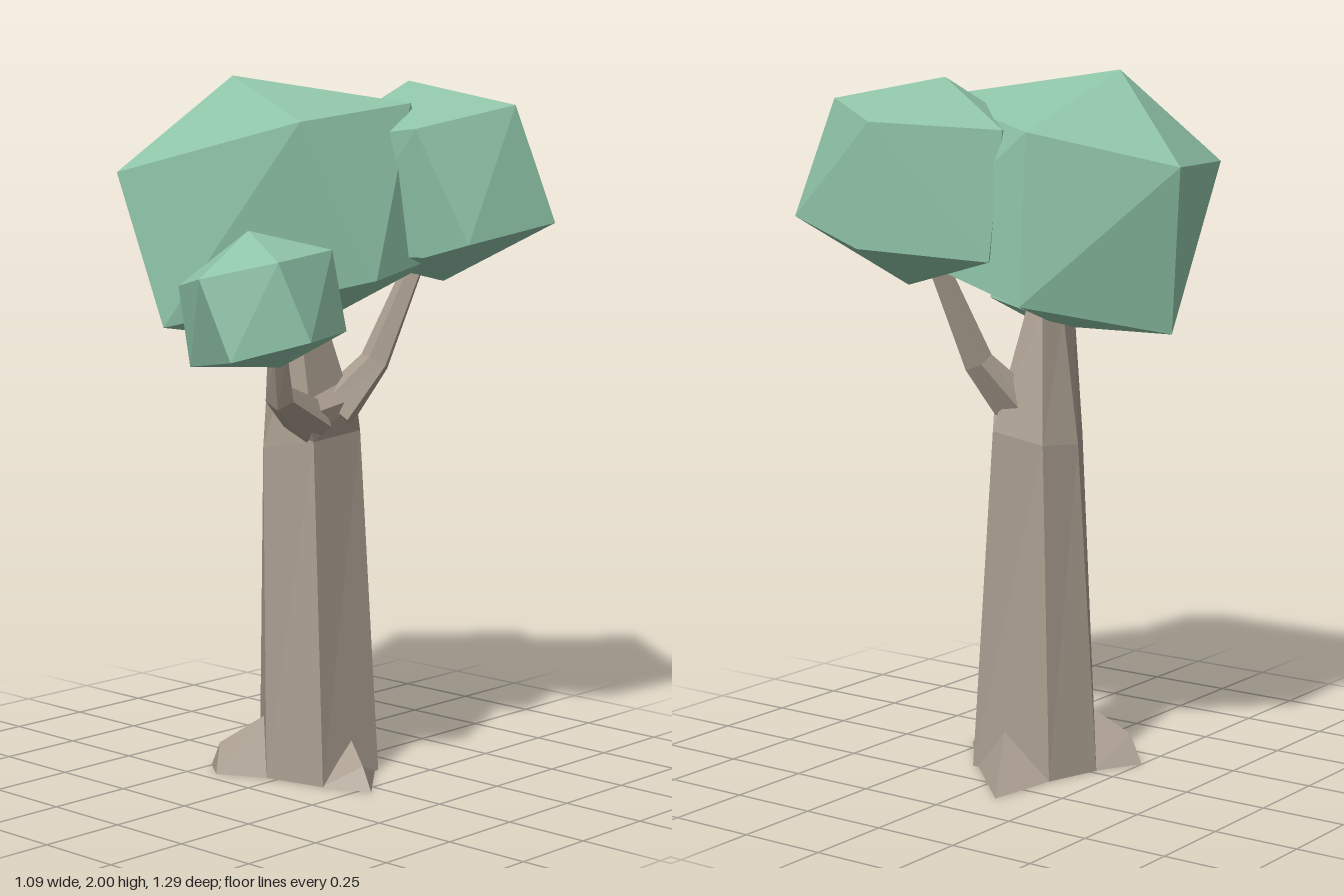
import * as THREE from 'three';
import { ConvexGeometry } from 'three/addons/geometries/ConvexGeometry.js';

const leafMaterial = new THREE.MeshStandardMaterial({ color: 0x8fc4a8, flatShading: true });
const barkMaterial = new THREE.MeshStandardMaterial({ color: 0xaa9e90, flatShading: true });

const toVectors = (points) => points.map((p) => new THREE.Vector3(...p));

// Faceted solid wrapped around a few corner points
function hull(name, points, material) {
  const mesh = new THREE.Mesh(new ConvexGeometry(toVectors(points)), material);
  mesh.name = name;
  return mesh;
}

// Skin over a stack of rings (each counter-clockwise seen from its far end), capped at both ends
function loft(name, rings, material) {
  const n = rings[0].length;
  const positions = [];
  const triangle = (...corners) => corners.forEach((c) => positions.push(c.x, c.y, c.z));
  for (let r = 0; r < rings.length - 1; r++) {
    for (let i = 0; i < n; i++) {
      const j = (i + 1) % n;
      const [a, b, c, d] = [rings[r][i], rings[r][j], rings[r + 1][j], rings[r + 1][i]];
      triangle(a, b, c);
      triangle(a, c, d);
    }
  }
  const first = rings[0], last = rings[rings.length - 1];
  for (let i = 1; i < n - 1; i++) {
    triangle(first[0], first[i + 1], first[i]);
    triangle(last[0], last[i], last[i + 1]);
  }
  const geometry = new THREE.BufferGeometry();
  geometry.setAttribute('position', new THREE.Float32BufferAttribute(positions, 3));
  geometry.computeVertexNormals();
  const mesh = new THREE.Mesh(geometry, material);
  mesh.name = name;
  return mesh;
}

// Tapered five-sided limb along a bent path
function limb(name, path, radii) {
  const points = toVectors(path);
  const rings = points.map((p, k) => {
    const before = points[Math.max(k - 1, 0)];
    const after = points[Math.min(k + 1, points.length - 1)];
    const along = after.clone().sub(before).normalize();
    const side = new THREE.Vector3(1, 0, 0).addScaledVector(along, -along.x).normalize();
    const up = along.clone().cross(side);
    return Array.from({ length: 5 }, (_, i) => {
      const t = (i / 5) * Math.PI * 2;
      return p.clone()
        .addScaledVector(side, radii[k] * Math.cos(t))
        .addScaledVector(up, radii[k] * Math.sin(t));
    });
  });
  return loft(name, rings, barkMaterial);
}

export function createModel() {
  const tree = new THREE.Group();
  tree.name = 'tree';

  // Trunk: wide foot, fork level, narrow top inside the crown
  const trunkRings = [
    [[0.15, 0, 0.10], [0.14, 0, -0.145], [-0.13, 0, -0.145], [-0.18, 0, 0.02], [-0.035, 0, 0.14]],
    [[0.085, 0.98, 0.07], [0.065, 0.99, -0.145], [-0.09, 0.96, -0.12], [-0.12, 0.95, 0.01], [-0.045, 0.96, 0.14]],
    [[0.04, 1.33, 0.08], [0.03, 1.33, -0.03], [-0.04, 1.33, -0.05], [-0.055, 1.31, 0.03], [-0.02, 1.31, 0.135]],
  ];
  tree.add(loft('trunk', trunkRings.map(toVectors), barkMaterial));

  // Fork where the branches leave the trunk
  tree.add(hull('fork', [
    [0.085, 0.98, 0.07], [0.065, 0.99, -0.145], [-0.05, 0.97, 0.10], [-0.06, 0.99, -0.1],
    [0.10, 1.06, 0.11], [0.09, 1.09, -0.10], [0.03, 1.14, 0.08], [0.02, 1.17, -0.06],
  ], barkMaterial));

  // Branches
  tree.add(limb('frontBranch',
    [[0.04, 1.03, 0.04], [0.12, 1.125, 0.24], [0.17, 1.26, 0.30]], [0.07, 0.042, 0.028]));
  tree.add(limb('backBranch',
    [[0.04, 1.05, -0.06], [0.10, 1.19, -0.17], [0.15, 1.46, -0.28]], [0.07, 0.045, 0.03]));

  // Roots
  tree.add(hull('frontRoot', [
    [-0.035, 0, 0.14], [-0.175, 0, 0.02], [-0.08, 0.17, 0.10],
    [-0.20, 0.08, 0.165], [-0.25, 0, 0.15], [-0.17, 0, 0.21], [-0.08, 0, 0.05],
  ], barkMaterial));
  tree.add(hull('sideRoot', [
    [0.145, 0, 0.10], [0.14, 0, -0.13], [0.14, 0.11, -0.03],
    [0.23, 0.06, 0.02], [0.285, 0, 0.045], [0.08, 0, 0],
  ], barkMaterial));
  tree.add(hull('backRoot', [
    [0.12, 0, -0.145], [-0.13, 0, -0.145], [0.03, 0.12, -0.14],
    [-0.1, 0, -0.36], [0, 0, -0.08],
  ], barkMaterial));

  // Foliage: peak, upper ring, lower ring, underside
  tree.add(hull('mainCrown', [
    [-0.187, 2.0, 0.115],
    [-0.547, 1.755, -0.133], [-0.32, 1.735, 0.437], [0.25, 1.88, 0.297], [0.265, 1.925, -0.13], [-0.235, 1.85, -0.40],
    [-0.49, 1.30, -0.08], [-0.165, 1.31, 0.41], [0.385, 1.455, 0.14], [0.24, 1.50, -0.33], [-0.235, 1.39, -0.43],
    [0.02, 1.265, 0.12],
  ], leafMaterial));
  tree.add(hull('backCrown', [
    [0.11, 1.985, -0.297],
    [0.125, 1.875, -0.61], [0.484, 1.92, -0.32], [0.378, 1.858, -0.023], [0.0, 1.82, -0.03], [-0.13, 1.85, -0.36],
    [0.142, 1.54, -0.643], [0.545, 1.593, -0.425], [0.495, 1.543, -0.11], [0.37, 1.505, -0.07],
    [0.08, 1.50, -0.03], [-0.12, 1.50, -0.41],
    [0.20, 1.415, -0.35],
  ], leafMaterial));
  tree.add(hull('frontCrown', [
    [0.17, 1.593, 0.413],
    [-0.02, 1.44, 0.49], [0.217, 1.48, 0.642], [0.385, 1.525, 0.52], [0.31, 1.54, 0.235], [0.01, 1.48, 0.27],
    [0.30, 1.265, 0.61], [0.445, 1.317, 0.46], [0.33, 1.32, 0.20], [0.0, 1.255, 0.38],
    [0.045, 1.227, 0.51], [0.08, 1.25, 0.23],
    [0.20, 1.222, 0.32],
  ], leafMaterial));

  return tree;
}
